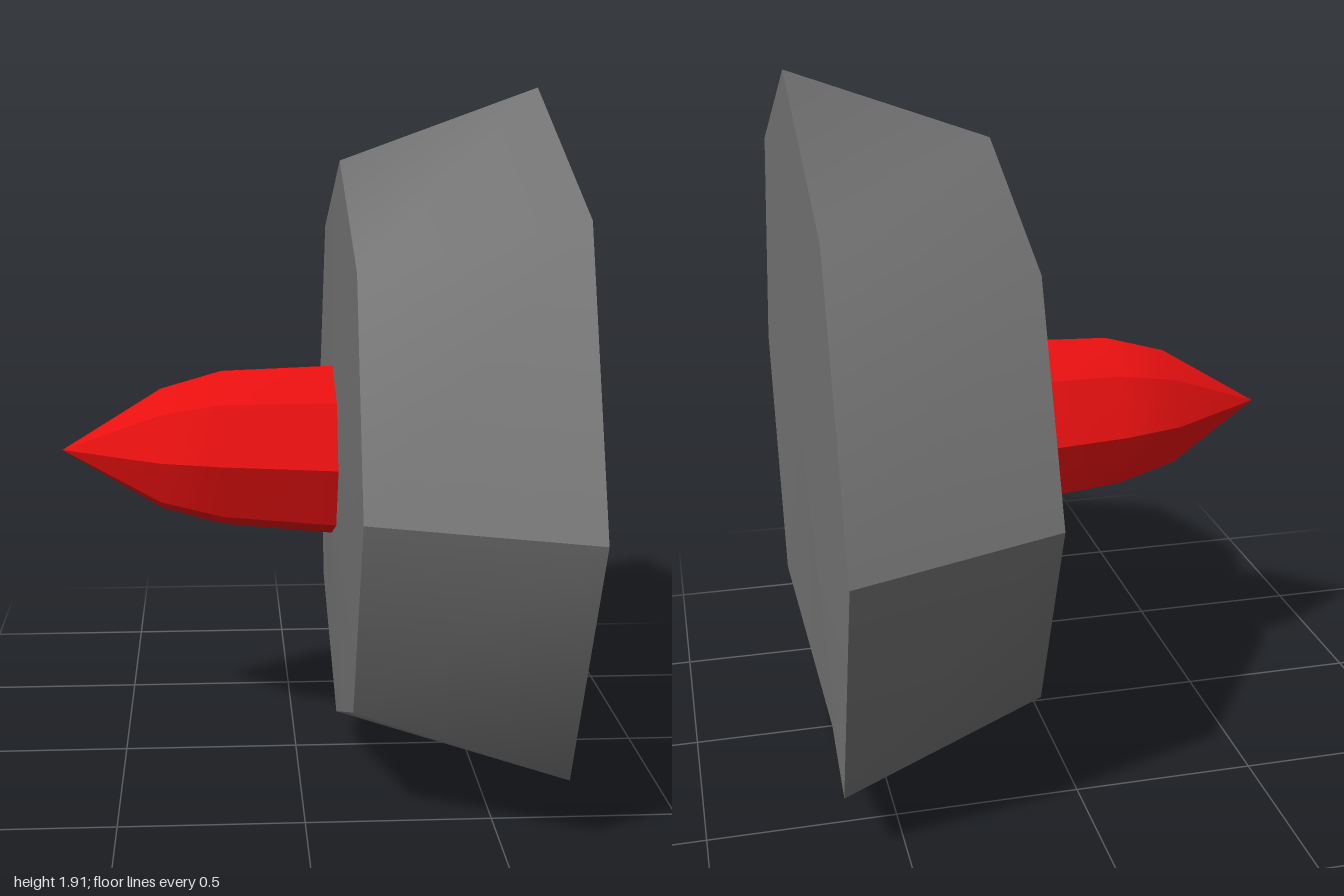
import * as THREE from 'three';

const SIDES = 8;
const AXIS_Y = 0.91;

// Octagonal ring around the x axis; k = 0 is the top, k = 2 faces +z.
function ring(x, r, cy = AXIS_Y) {
  return Array.from({ length: SIDES }, (_, k) => {
    const a = (k / SIDES) * Math.PI * 2;
    return new THREE.Vector3(x, cy + r * Math.cos(a), r * Math.sin(a));
  });
}

// Smooth strip over ring corners k0..k1, through rings in profile order.
function loft(rings, k0 = 0, k1 = SIDES) {
  const pos = [], index = [], n = k1 - k0 + 1;
  rings.forEach((points, i) => {
    for (let k = k0; k <= k1; k++) {
      pos.push(...points[k % SIDES].toArray());
      if (i === rings.length - 1 || k === k1) continue;
      const a = i * n + k - k0, b = a + n;
      index.push(a, a + 1, b, b, a + 1, b + 1);
    }
  });
  const geo = new THREE.BufferGeometry();
  geo.setAttribute('position', new THREE.Float32BufferAttribute(pos, 3));
  geo.setIndex(index);
  geo.computeVertexNormals();
  return geo;
}

export function createModel() {
  const model = new THREE.Group();
  const grey = new THREE.MeshStandardMaterial({ color: 0x757575 });
  grey.name = 'grey';
  const red = new THREE.MeshStandardMaterial({ color: 0xea1010 });
  red.name = 'red';

  const add = (parent, name, geo, mat) => {
    const mesh = new THREE.Mesh(geo, mat);
    mesh.name = name;
    parent.add(mesh);
  };

  // Tapered octagonal base, its lowest corner pushed in
  const base = new THREE.Group();
  base.name = 'base';
  const inner = ring(0.12, 0.805);
  const outer = ring(0.66, 1);
  outer[4].set(0.61, 0, 0);
  add(base, 'upperRim', loft([inner, outer], 6, 10), grey);
  add(base, 'lowerRim', loft([inner, outer], 2, 6), grey);
  add(base, 'innerFace', loft([ring(0.1, 0), ring(0.103, 0.24), inner]), grey);
  add(base, 'outerFace', loft([outer, ring(0.66, 0)]), grey);
  model.add(base);

  // Pointed tip with eight separate facets
  const tip = new THREE.Group();
  tip.name = 'tip';
  const profile = [
    ring(-0.66, 0), ring(-0.38, 0.174), ring(-0.21, 0.223), ring(0.11, 0.245, 0.9),
  ];
  for (let k = 0; k < SIDES; k++) add(tip, 'tipFacet', loft(profile, k, k + 1), red);
  model.add(tip);

  return model;
}
